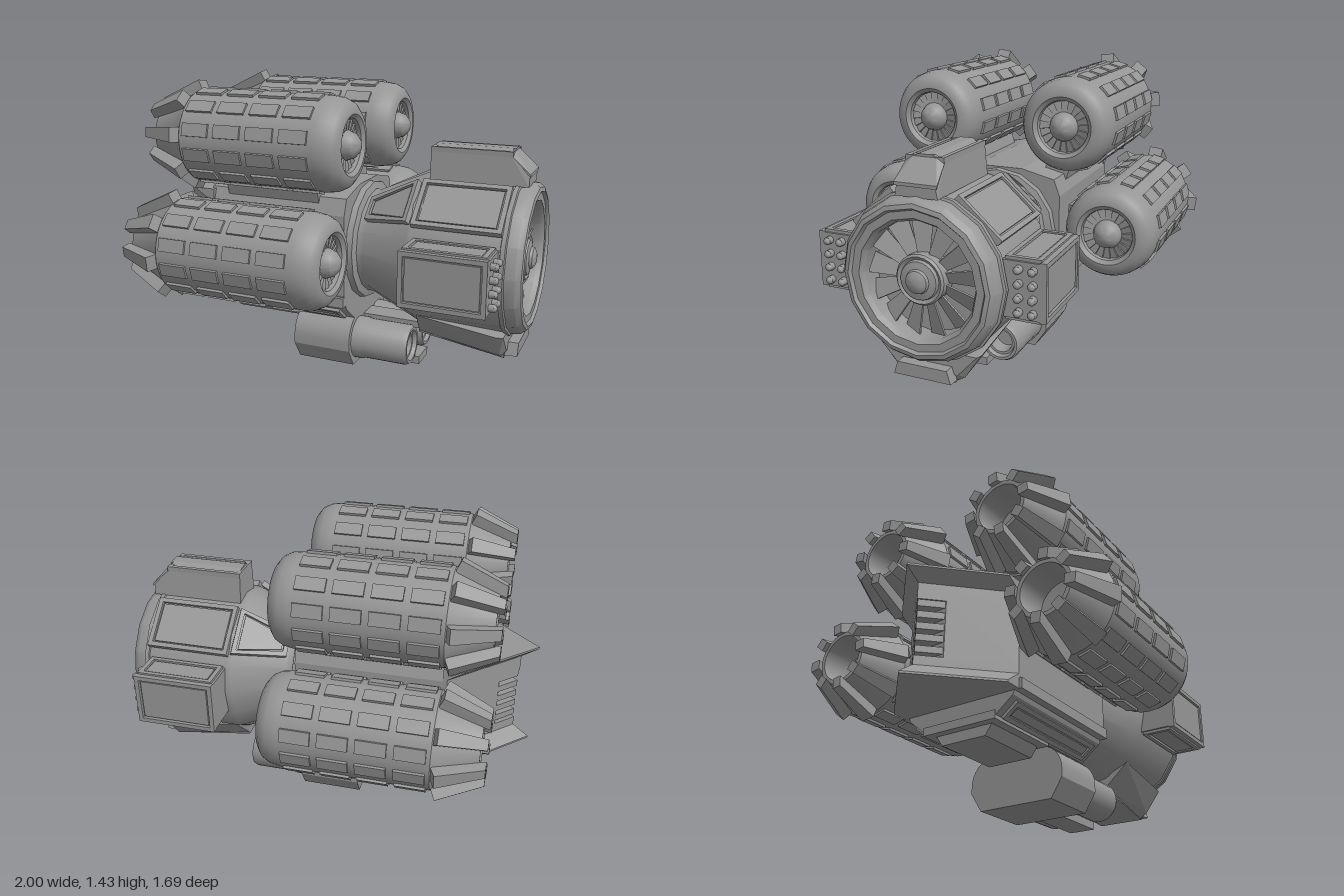
import * as THREE from 'three';
import { toCreasedNormals } from 'three/addons/utils/BufferGeometryUtils.js';
import { ConvexGeometry } from 'three/addons/geometries/ConvexGeometry.js';

const material = new THREE.MeshStandardMaterial({ color: 0x969696, side: THREE.DoubleSide });

function add(parent, name, geometry, x = 0, y = 0, z = 0) {
  const mesh = new THREE.Mesh(geometry, material);
  mesh.name = name;
  mesh.position.set(x, y, z);
  parent.add(mesh);
  return mesh;
}
function group(parent, name, x = 0, y = 0, z = 0, turn = 0) {
  const g = new THREE.Group();
  g.name = name;
  g.position.set(x, y, z);
  g.rotation.x = turn; // angle from +y towards +z
  parent.add(g);
  return g;
}
const box = (w, h, d) => new THREE.BoxGeometry(w, h, d);
// Turned profile of [x, radius] pairs around the x axis
function turned(profile, sides = 32) {
  const pts = profile.map(([x, r]) => new THREE.Vector2(r, x));
  return toCreasedNormals(new THREE.LatheGeometry(pts, sides).rotateZ(-Math.PI / 2), 0.55);
}
// Convex solid through cross-sections [x, [[z, y], ...]], mirrored in z
const loft = (sections) => new ConvexGeometry(sections.flatMap(([x, s]) =>
  s.flatMap(([z, y]) => [new THREE.Vector3(x, y, z), new THREE.Vector3(x, y, -z)])));

// Framed plate facing +y; its z width runs from w0 (back) to w1 (front)
function framedPlate(parent, name, length, w0, w1, x, y, thick = 0.03) {
  const g = group(parent, name, x, y);
  const outline = (k) => {
    const l = length / 2 - k;
    return [[-l, -w0 / 2 + k], [l, -w1 / 2 + k], [l, w1 / 2 - k], [-l, w0 / 2 - k]].map((p) => new THREE.Vector2(...p));
  };
  const rim = new THREE.Shape(outline(0));
  rim.holes.push(new THREE.Path(outline(0.022)));
  const extrude = (s, d) => new THREE.ExtrudeGeometry(s, { depth: d, bevelEnabled: false }).rotateX(-Math.PI / 2);
  add(g, 'plateFrame', extrude(rim, thick));
  add(g, 'plateCenter', extrude(new THREE.Shape(outline(0.03)), thick * 0.8));
  add(g, 'plateBase', extrude(new THREE.Shape(outline(0)), thick * 0.45));
  return g;
}

// Ring of tapered, twisted blades
function fan(parent, name, count, x, r0, r1, w0, w1, twist) {
  const g = group(parent, name);
  const geo = box(0.008, r1 - r0, 1);
  const p = geo.attributes.position;
  for (let i = 0; i < p.count; i++) p.setZ(i, p.getZ(i) * (p.getY(i) > 0 ? w1 : w0));
  for (let i = 0; i < count; i++) {
    const arm = group(g, 'bladeArm', 0, 0, 0, (i / count) * Math.PI * 2);
    add(arm, 'blade', geo, x, (r0 + r1) / 2).rotation.y = twist;
  }
}

function addEngine(root, side, y, z, finTurn) {
  const g = group(root, 'engine', 0, y, z * side);
  add(g, 'engineShell', turned([[-0.62, 0], [-0.63, 0.12], [-0.8, 0.115], [-0.8, 0.135], [-0.61, 0.216],
    [-0.6, 0.226], [0.09, 0.226], [0.14, 0.218], [0.175, 0.2], [0.197, 0.17], [0.2, 0.145], [0.185, 0.126], [0.12, 0.12], [0.12, 0]], 40));
  add(g, 'spinner', turned([[0.13, 0.07], [0.17, 0.07], [0.205, 0.057], [0.228, 0.03], [0.235, 0]], 20));
  fan(g, 'intakeFan', 20, 0.16, 0.06, 0.122, 0.018, 0.038, 0.25);
  // Surface plates
  for (let k = 0; k < 12; k++) {
    const row = group(g, 'plateRow', 0, 0, 0, ((k + 0.5) / 12) * Math.PI * 2);
    for (let i = 0; i < 4; i++) add(row, 'surfacePlate', box(0.138, 0.025, 0.062), -0.512 + i * 0.17, 0.223);
  }
  // Nozzle fins
  const fin = loft([[-0.605, [[0.036, 0.2], [0.036, 0.225]]], [-0.625, [[0.036, 0.267]]], [-0.83, [[0.024, 0.172], [0.024, 0.12]]]]);
  for (let k = 0; k < 8; k++) {
    const arm = group(g, 'finArm', 0, 0, 0, side * ((90 - finTurn + k * 45) * Math.PI) / 180);
    add(arm, 'nozzleFin', fin);
  }
}

function addNose(root) {
  const g = group(root, 'nose', 0, 0.63);
  add(g, 'noseShell', turned([[0.1, 0.29], [0.13, 0.305], [0.17, 0.3], [0.18, 0.265], [0.21, 0.265], [0.46, 0.375],
    [0.48, 0.38], [0.9, 0.375], [0.97, 0.365], [0.995, 0.345], [1, 0.325], [0.985, 0.315], [0.985, 0.28], [0.96, 0.265], [0.87, 0.262], [0.87, 0]], 16));
  add(g, 'noseBand', turned([[0.895, 0.37], [0.9, 0.383], [0.92, 0.383], [0.925, 0.368]], 16));
  fan(g, 'noseFan', 13, 0.91, 0.08, 0.262, 0.045, 0.095, 0.4);
  add(g, 'noseHub', turned([[0.87, 0.114], [0.95, 0.114], [0.96, 0.105], [0.95, 0.09], [0.965, 0.085], [0.972, 0.055], [0.985, 0.05], [0.996, 0.03], [1, 0]], 24));

  for (const s of [1, -1]) {
    // Upper hull plates and the tapered ones behind them
    const upper = group(g, 'upperPlates', 0, 0, 0, s * 0.73);
    framedPlate(upper, 'hullPlate', 0.42, 0.26, 0.26, 0.69, 0.358);
    const slope = framedPlate(upper, 'shoulderPlate', 0.27, 0.13, 0.24, 0.345, 0.312);
    slope.rotation.z = 0.41;
    // Side launcher
    const pod = group(g, 'sideLauncher', 0, 0, 0, (s * Math.PI) / 2);
    add(pod, 'launcherBox', box(0.4, 0.23, 0.25), 0.69, 0.41);
    framedPlate(pod, 'launcherCover', 0.4, 0.26, 0.26, 0.69, 0.515);
    for (const t of [1, -1]) {
      const flank = group(pod, 'launcherFlank', 0, 0.44, 0, (t * Math.PI) / 2);
      framedPlate(flank, 'launcherFlankPlate', 0.38, 0.16, 0.16, 0.69, 0.117, 0.022);
    }
    for (let i = 0; i < 8; i++) {
      const tube = add(pod, 'launcherTube', new THREE.CylinderGeometry(0.018, 0.018, 0.05, 12), 0.89, 0.425 + (i % 2) * 0.063, (Math.floor(i / 2) - 1.5) * 0.062);
      tube.rotation.z = Math.PI / 2;
      add(pod, 'tubeTip', new THREE.SphereGeometry(0.018, 12, 8), 0.91, tube.position.y, tube.position.z);
    }
  }
  // Top fairing
  add(g, 'topFairing', loft([[0.49, [[0.1, 0.36], [0.088, 0.5]]], [0.87, [[0.1, 0.36], [0.088, 0.5]]], [0.96, [[0.1, 0.36], [0.09, 0.41]]]]));
  framedPlate(g, 'topFairingCover', 0.39, 0.18, 0.18, 0.685, 0.492, 0.025);
  add(g, 'topFairingRidge', loft([[0.5, [[0.088, 0.5], [0.03, 0.525]]], [0.88, [[0.088, 0.5], [0.03, 0.525]]]]));
  add(g, 'topFairingBrow', loft([[0.87, [[0.05, 0.525], [0.09, 0.5]]], [0.965, [[0.1, 0.42], [0.1, 0.405]]]]));
  // Bottom fairing
  add(g, 'bottomFairing', loft([[0.47, [[0.2, -0.3], [0.14, -0.4]]], [0.49, [[0.26, -0.275]]],
    [0.88, [[0.25, -0.33], [0.17, -0.45], [0.13, -0.475]]], [0.91, [[0.24, -0.33], [0.15, -0.43]]]]));
  add(g, 'bottomFairingLip', loft([[0.47, [[0.14, -0.41], [0.14, -0.37]]], [0.895, [[0.13, -0.478], [0.14, -0.43]]]]));
  add(g, 'bottomFairingBlock', loft([[0.9, [[0.14, -0.46], [0.12, -0.395]]], [0.96, [[0.14, -0.455], [0.12, -0.395]]]]));
}

function addBody(root) {
  const g = group(root, 'body');
  const section = [[0.12, 0.94], [0.29, 0.9], [0.32, 0.82], [0.32, 0.42], [0.29, 0.34], [0.19, 0.26]];
  add(g, 'fuselage', loft([[-0.6, section], [0.14, section]]));
  for (const s of [1, -1]) {
    add(g, 'sideRail', box(0.74, 0.05, 0.05), -0.23, 0.385, s * 0.31);
    // Engine pylons
    const lower = group(g, 'lowerPylon', 0, 0.66, s * 0.35);
    add(lower, 'pylon', box(0.5, 0.16, 0.1), -0.25, 0);
    const upper = group(g, 'upperPylon', 0, 0.94, s * 0.26, s * 0.3);
    add(upper, 'pylon', box(0.5, 0.16, 0.12), -0.25, 0);
    const belly = group(g, 'bellyPlates', 0, 0.3, s * 0.24, s * (Math.PI - 0.67));
    framedPlate(belly, 'bellyPlate', 0.66, 0.1, 0.1, -0.23, -0.005, 0.02);
  }
  // Keel
  add(g, 'keel', loft([[-0.565, [[0.19, 0.3], [0.12, 0.2]]], [-0.21, [[0.19, 0.3], [0.12, 0.2]]]]));
  add(g, 'keelRim', box(0.42, 0.04, 0.4), -0.395, 0.27);

  // Wedge tail with flared lips and a slatted recess
  const tail = (name, ...rings) => add(g, name, loft(rings.flatMap(([y, tip]) =>
    [[tip, [[0, y]]], [tip + 0.32, [[0.32, y]]], [-0.58, [[0.32, y]]]])));
  tail('tailLowerLip', [0.36, -1], [0.37, -1], [0.43, -0.92]);
  tail('tailLowerBlock', [0.43, -0.92], [0.475, -0.92]);
  tail('tailUpperBlock', [0.75, -0.92], [0.83, -0.92]);
  tail('tailUpperLip', [0.83, -0.92], [0.88, -1], [0.89, -1]);
  const core = (y) => [[-0.83, [[0.09, y]]], [-0.6, [[0.32, y]]]];
  add(g, 'tailCore', loft([...core(0.47), ...core(0.76)]));
  for (let i = 0; i < 5; i++) {
    const y = 0.492 + i * 0.056;
    add(g, 'tailSlat', loft([y, y + 0.032].flatMap((h) => [[-0.915, [[0, h]]], [-0.82, [[0.095, h]]]])));
  }
}

function addBellyGun(root) {
  const g = group(root, 'bellyGun');
  // Housing with rounded shoulders and a flat base
  const section = [[0.26, 0.1], [0.2, 0.005]];
  for (let i = 0; i <= 8; i++) {
    const a = (i / 8) * Math.PI / 2;
    section.push([0.13 + 0.13 * Math.cos(a), 0.14 + 0.13 * Math.sin(a)]);
  }
  add(g, 'gunHousing', toCreasedNormals(loft([[-0.165, section], [0.14, section]]), 0.4));
  add(g, 'gunMount', box(0.28, 0.1, 0.24), -0.01, 0.28);
  for (const s of [1, -1]) {
    add(g, 'gunBarrel', turned([[0.13, 0.108], [0.18, 0.108], [0.2, 0.102], [0.41, 0.102], [0.43, 0.092], [0.43, 0.078],
      [0.41, 0.07], [0.41, 0.058], [0.34, 0.052], [0.34, 0]], 28), 0, 0.135, s * 0.128);
  }
  add(g, 'gunLowerTab', box(0.31, 0.04, 0.14), 0.295, 0.03);
  add(g, 'gunUpperTab', box(0.31, 0.035, 0.12), 0.295, 0.22);
  add(g, 'gunBridge', box(0.24, 0.16, 0.14), 0.25, 0.125);
}

export function createModel() {
  const root = new THREE.Group();
  root.name = 'spaceship';
  addBody(root);
  addNose(root);
  addBellyGun(root);
  for (const side of [1, -1]) {
    addEngine(root, side, 1.17, 0.345, 8);
    addEngine(root, side, 0.67, 0.575, -7);
  }
  return root;
}
